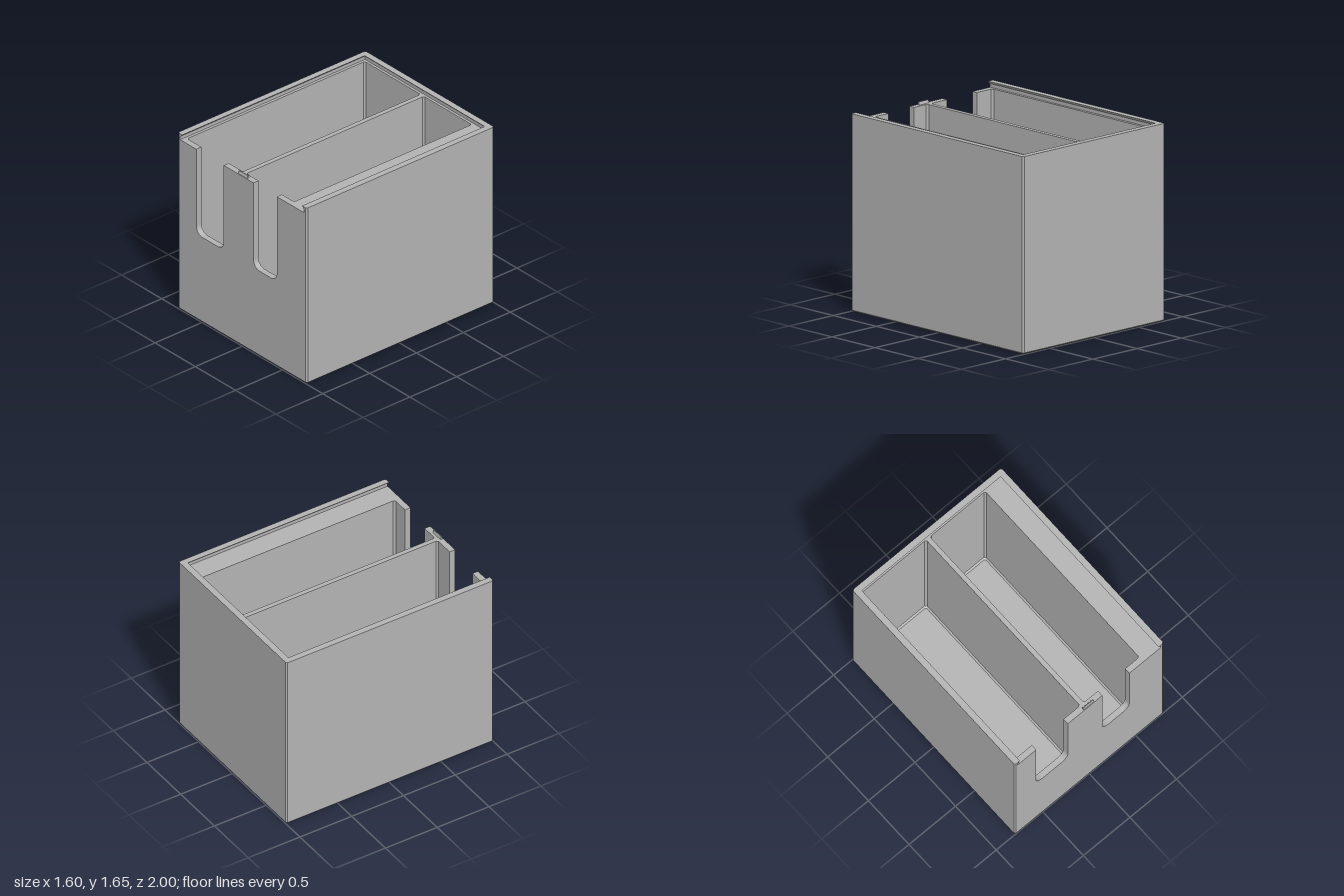
import * as THREE from 'three';

const W = 0.8, D = 1, H = 1.65;       // half width, half depth, full height
const LEDGE = 1.595, FLOOR = 0.05, SLOT_Y = 0.8;
const C = 0.012, K = 0.015;           // outer and inner chamfers
const INNER_Z = 0.947;                // compartment half depth
const cells = [
  { x0: -0.745, x1: -0.053, s0: -0.57, s1: -0.23 },
  { x0: -0.012, x1: 0.582, s0: 0.14, s1: 0.43 },
];

// rectangle with cut corners, starting on the front edge, [x, -z]
const cutRect = (x0, x1, z, c) => [
  [x0 + c, -z], [x1 - c, -z], [x1, -z + c], [x1, z - c],
  [x1 - c, z], [x0 + c, z], [x0, z - c], [x0, -z + c],
];
const toPath = (pts, Type = THREE.Shape) => new Type(pts.map(([x, y]) => new THREE.Vector2(x, y)));

// extrude a floor plan upward between two heights
function extrudePlan(shape, y0, y1) {
  const g = new THREE.ExtrudeGeometry(shape, { depth: y1 - y0, bevelEnabled: false });
  return g.rotateX(-Math.PI / 2).translate(0, y0, 0);
}

// join successive rings of [x, y, z] points with flat quads
function loft(rings, closed, caps) {
  const p = [], n = rings[0].length;
  for (let i = 0; i + 1 < rings.length; i++) {
    for (let j = 0; j < (closed ? n : n - 1); j++) {
      const k = (j + 1) % n;
      const a = rings[i][j], b = rings[i][k], c = rings[i + 1][k], d = rings[i + 1][j];
      p.push(...a, ...b, ...c, ...a, ...c, ...d);
    }
  }
  if (caps) {
    const f = rings[0], l = rings[rings.length - 1];
    for (let j = 1; j + 1 < n; j++) p.push(...f[0], ...f[j + 1], ...f[j], ...l[0], ...l[j], ...l[j + 1]);
  }
  const g = new THREE.BufferGeometry();
  g.setAttribute('position', new THREE.Float32BufferAttribute(p, 3));
  g.computeVertexNormals();
  return g;
}
const ringAt = (pts, y) => pts.map(([x, s]) => [x, y, -s]);

export function createModel() {
  const model = new THREE.Group();
  model.name = 'dividedBox';
  const grey = new THREE.MeshStandardMaterial({ color: 0xb4b4b4, side: THREE.DoubleSide });
  grey.name = 'grey';
  const add = (name, geometry) => {
    const mesh = new THREE.Mesh(geometry, grey);
    mesh.name = name;
    model.add(mesh);
    return mesh;
  };

  // base slab with chamfered lower edge
  const outer = cutRect(-W, W, D, C);
  const lower = outer.map(([x, s]) => [x * (1 - C / W), s * (1 - C / D)]);
  add('base', loft([ringAt(lower, 0), ringAt(outer, C), ringAt(outer, FLOOR)], true, true));

  // walls below the slots: closed plan with two compartments
  const closedPlan = toPath(outer);
  for (const c of cells) closedPlan.holes.push(toPath(cutRect(c.x0, c.x1, INNER_Z, K), THREE.Path));
  add('lowerWalls', extrudePlan(closedPlan, FLOOR, SLOT_Y));

  // walls beside the slots: the compartments open through the front
  const openPts = [outer[0]];
  for (const { x0, x1, s0, s1 } of cells) {
    const r = cutRect(x0, x1, INNER_Z, K);
    openPts.push([s0, -D], [s0, -INNER_Z], r[0], r[7], r[6], r[5], r[4], r[3], r[2], r[1],
      [s1, -INNER_Z], [s1, -D]);
  }
  openPts.push(...outer.slice(1));
  add('upperWalls', extrudePlan(toPath(openPts), SLOT_Y, LEDGE));

  // rounded lower corners of the finger slots
  const R = 0.075;
  for (const { s0, s1 } of cells) {
    for (const [x, s] of [[s0, 1], [s1, -1]]) {
      const fillet = new THREE.Shape();
      fillet.moveTo(0, 0);
      fillet.lineTo(s * R, 0);
      fillet.absarc(s * R, R, R, -Math.PI / 2, s > 0 ? -Math.PI : 0, s > 0);
      fillet.closePath();
      const g = new THREE.ExtrudeGeometry(fillet, { depth: D - INNER_Z, bevelEnabled: false, curveSegments: 10 });
      add('slotCorner', g).position.set(x, SLOT_Y, INNER_Z);
    }
  }

  // sloped edges around each compartment floor
  for (const { x0, x1 } of cells) {
    const top = cutRect(x0, x1, INNER_Z, K);
    const bottom = cutRect(x0 + K, x1 - K, INNER_Z - K, K * 0.6);
    add('floorChamfer', loft([ringAt(bottom, FLOOR + 0.001), ringAt(top, FLOOR + K)].reverse(), true, false));
  }

  // dovetail rim on the left, back and right, open at the front for a sliding lid
  const profile = [[0, LEDGE], [0, H], [0.055, H], [0.03, 1.625], [0.03, LEDGE]];
  const half = [
    ([i, y]) => [W - Math.max(i, C), y, D],
    ([i, y]) => [W - i, y, D - C],
    ([i, y]) => [W - i, y, -D + i + (i ? 0 : C)],
    ([i, y]) => [W - i - (i ? 0 : C), y, -D + i],
  ];
  const right = half.map((f) => profile.map(f));
  const left = right.map((ring) => ring.map(([x, y, z]) => [-x, y, z])).reverse();
  add('lidRail', loft([...right, ...left].reverse(), true, true));

  // small lid catch on the front wall
  const catchShape = toPath([[0.972, 0], [0.98, 0.025], [0.987, 0.025], [0.995, 0]]);
  const catchGeo = new THREE.ExtrudeGeometry(catchShape, { depth: 0.11, bevelEnabled: false });
  catchGeo.rotateY(-Math.PI / 2).translate(0.055, LEDGE, 0);
  add('lidCatch', catchGeo);

  return model;
}
